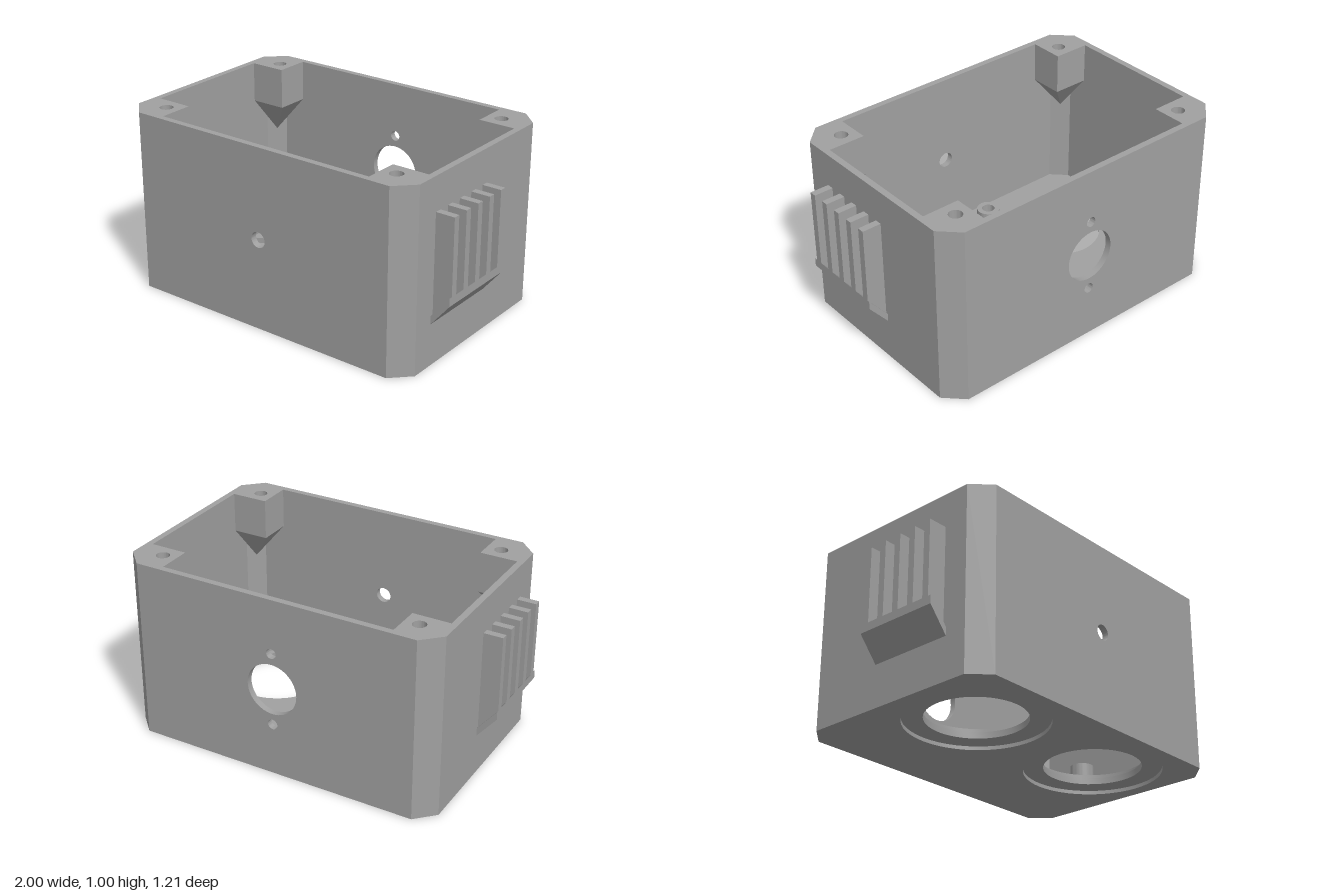
import * as THREE from 'three';
import { toCreasedNormals } from 'three/addons/utils/BufferGeometryUtils.js';
import { ConvexGeometry } from 'three/addons/geometries/ConvexGeometry.js';

const SEG = 24;

function circle(x, y, r) {
  return new THREE.Path().absarc(x, y, r, 0, Math.PI * 2, false);
}

function polygon(points) {
  return new THREE.Shape(points.map(([x, y]) => new THREE.Vector2(x, y)));
}

function extrude(shape, depth) {
  const geo = new THREE.ExtrudeGeometry(shape, { depth, bevelEnabled: false, curveSegments: SEG });
  return toCreasedNormals(geo, 0.5);
}

// Horizontal slab from an x/z outline; holes are [x, z, radius]
function slab(outline, holes, y0, y1, extraHoles = []) {
  const shape = polygon(outline.map(([x, z]) => [x, -z]));
  holes.forEach(([x, z, r]) => shape.holes.push(circle(x, -z, r)));
  shape.holes.push(...extraHoles);
  return extrude(shape, y1 - y0).rotateX(-Math.PI / 2).translate(0, y0, 0);
}

export function createModel() {
  const model = new THREE.Group();
  model.name = 'enclosure';
  const grey = new THREE.MeshStandardMaterial({ color: 0xa0a0a0 });
  grey.name = 'grey plastic';

  function add(name, geo, parent = model) {
    const mesh = new THREE.Mesh(geo, grey);
    mesh.name = name;
    parent.add(mesh);
    return mesh;
  }

  const H = 1.005;
  const eyeX = 0.448, eyeZ = 0.16;

  // Front and back walls with their round openings
  function wall(name, z, holes) {
    const shape = polygon([[-0.78, 0], [0.78, 0], [0.78, H], [-0.78, H]]);
    holes.forEach(([x, y, r]) => shape.holes.push(circle(x, y, r)));
    add(name, extrude(shape, 0.035).translate(0, 0, z));
  }
  wall('frontWall', 0.57, [[0, 0.505, 0.043]]);
  wall('backWall', -0.605, [[0, 0.5, 0.143], [0, 0.705, 0.028], [0, 0.295, 0.028]]);

  // Side walls including the chamfered corners
  const sideOutline = [
    [0.78, 0.605], [0.795, 0.605], [0.895, 0.505], [0.895, -0.505], [0.795, -0.605],
    [0.78, -0.605], [0.78, -0.57], [0.86, -0.49], [0.86, 0.49], [0.78, 0.57],
  ];

  // Floor in three layers: outer recess, lip, and inner seat
  const inner = [
    [0.78, 0.57], [0.86, 0.49], [0.86, -0.49], [0.78, -0.57],
    [-0.78, -0.57], [-0.86, -0.49], [-0.86, 0.49], [-0.78, 0.57],
  ];
  const eyes = (r) => [[eyeX, eyeZ, r], [-eyeX, eyeZ, r]];
  add('floorRecess', slab(inner, eyes(0.37), 0, 0.02));
  add('floorLip', slab(inner, eyes(0.262), 0.02, 0.055));

  // Seats joined to a shallow central channel that runs to the back wall
  const seat = new THREE.Path();
  const a = Math.PI / 6;
  seat.moveTo(0.12, 0.569);
  seat.lineTo(0.12, -eyeZ + 0.147);
  seat.absarc(eyeX, -eyeZ, 0.294, Math.PI - a, Math.PI + a, true);
  seat.lineTo(0.115, -eyeZ - 0.147);
  seat.lineTo(0.115, -0.125);
  seat.lineTo(-0.115, -0.125);
  seat.lineTo(-0.115, -eyeZ - 0.147);
  seat.absarc(-eyeX, -eyeZ, 0.294, -a, a, true);
  seat.lineTo(-0.12, -eyeZ + 0.147);
  seat.lineTo(-0.12, 0.569);
  seat.closePath();
  add('floorSeat', slab(inner, [], 0.055, 0.085, [seat]));
  add('channelFloor', slab([[-0.119, -0.57], [0.119, -0.57], [0.119, 0.125], [-0.119, 0.125]], [], 0.05, 0.07));

  for (const s of [1, -1]) {
    const side = s > 0 ? 'left' : 'right';
    add(side + 'Wall', slab(sideOutline.map(([x, z]) => [s * x, z]), [], 0, H));

    // Screw posts in the upper corners, tapering into the corner below
    for (const t of [1, -1]) {
      const post = new THREE.Group();
      post.name = side + (t > 0 ? 'Front' : 'Back') + 'Post';
      model.add(post);
      const outline = [[0.655, 0.38], [0.86, 0.38], [0.86, 0.49], [0.78, 0.57], [0.655, 0.57]]
        .map(([x, z]) => [s * x, t * z]);
      add('postBlock', slab(outline, [[s * 0.735, t * 0.463, 0.036]], 0.79, H), post);
      const points = outline.flatMap(([x, z]) => [
        new THREE.Vector3(x, 0.79, z), new THREE.Vector3(x, 0.78, z),
      ]);
      points.push(new THREE.Vector3(s * 0.82, 0.575, t * 0.53));
      add('postTaper', new ConvexGeometry(points), post);
    }

    // Hollow mounting bosses beside each opening
    for (const [x, z] of [[0.705, -0.12], [0.193, 0.437]]) {
      const ring = new THREE.Shape().absarc(0, 0, 0.064, 0, Math.PI * 2, false);
      ring.holes.push(circle(0, 0, 0.035));
      add(side + 'Boss', extrude(ring, 0.09).rotateX(-Math.PI / 2).translate(s * x, 0.075, z));
    }

    // Side vent: sloped ledge with five upright fins
    const vent = new THREE.Group();
    vent.name = side + 'Vent';
    model.add(vent);
    const ledge = [[0.89, 0.225], [1, 0.36], [1, 0.405], [0.89, 0.27]].map(([x, y]) => [s * x, y]);
    add('ventLedge', extrude(polygon(ledge), 0.476).translate(0, 0, -0.092), vent);
    const fin = [[0.89, 0.26], [1, 0.395], [1, 0.82], [0.89, 0.82]].map(([x, y]) => [s * x, y]);
    for (let i = 0; i < 5; i++) {
      add('ventFin', extrude(polygon(fin), 0.038).translate(0, 0, -0.08 + i * 0.102), vent);
    }
  }
  return model;
}
